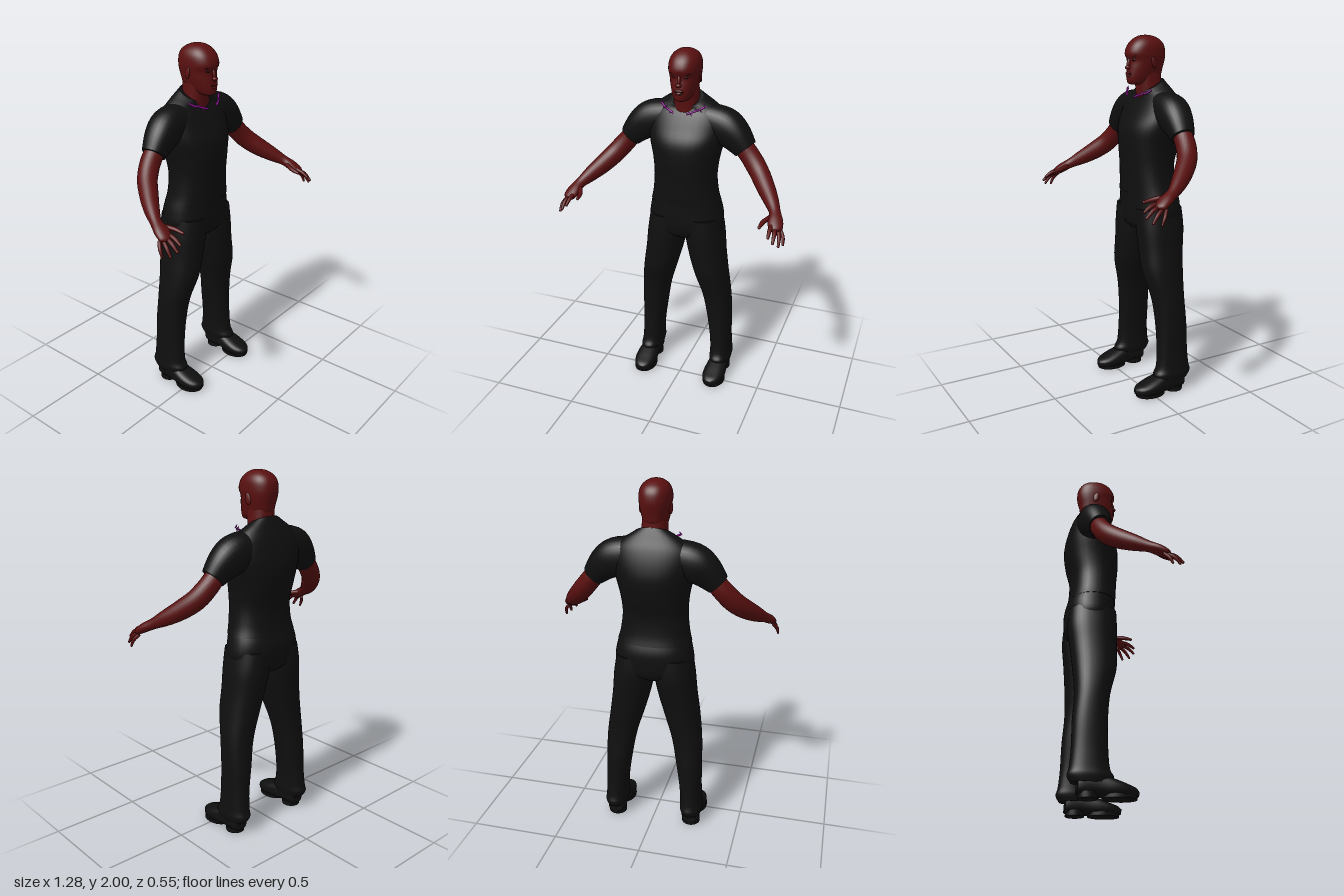
import * as THREE from 'three';

const mat = (name, color) => {
  const m = new THREE.MeshStandardMaterial({ color });
  m.name = name;
  return m;
};

// Catmull-Rom through rows of numbers (all rows equally long)
function smoothRows(rows, steps) {
  const out = [], at = (i) => rows[Math.min(Math.max(i, 0), rows.length - 1)];
  for (let i = 0; i < rows.length - 1; i++) {
    for (let s = 0; s < steps; s++) {
      const t = s / steps, [a, b, c, d] = [at(i - 1), at(i), at(i + 1), at(i + 2)];
      out.push(b.map((p, k) => 0.5 * (2 * p + (c[k] - a[k]) * t
        + (2 * a[k] - 5 * p + 4 * c[k] - d[k]) * t * t
        + (3 * p - a[k] - 3 * c[k] + d[k]) * t * t * t)));
    }
  }
  out.push(rows[rows.length - 1]);
  return out;
}

// Skin closed superellipse rings { c, u, v } with flat end caps
function skin(rings, n, power) {
  const pos = [], index = [], e = 2 / power;
  const bend = (x) => Math.sign(x) * Math.abs(x) ** e;
  const addRing = ({ c, u, v }) => {
    for (let i = 0; i < n; i++) {
      const a = (i / n) * Math.PI * 2;
      const p = c.clone().addScaledVector(u, bend(Math.cos(a))).addScaledVector(v, bend(Math.sin(a)));
      pos.push(p.x, p.y, p.z);
    }
  };
  rings.forEach(addRing);
  for (let j = 0; j < rings.length - 1; j++) {
    for (let i = 0; i < n; i++) {
      const a = j * n + i, b = j * n + ((i + 1) % n);
      index.push(a, a + n, b, b, a + n, b + n);
    }
  }
  [rings[0], rings[rings.length - 1]].forEach((ring, end) => {
    const base = pos.length / 3;
    addRing(ring);
    pos.push(ring.c.x, ring.c.y, ring.c.z);
    for (let i = 0; i < n; i++) {
      const a = base + i, b = base + ((i + 1) % n);
      index.push(base + n, end ? b : a, end ? a : b);
    }
  });
  const g = new THREE.BufferGeometry();
  g.setAttribute('position', new THREE.Float32BufferAttribute(pos, 3));
  g.setIndex(index);
  g.computeVertexNormals();
  return g;
}

const V = (x, y, z) => new THREE.Vector3(x, y, z);

// Level rings: [y, xMin, xMax, zFront, zBack, front dip]
function upright(rows, side = 1) {
  return skin(smoothRows(rows, 4).map(([y, x0, x1, zf, zb, dip]) => ({
    c: V(side * (x0 + x1) / 2, y, (zf + zb) / 2),
    u: V((x1 - x0) / 2, 0, 0),
    v: V(0, -dip, (zf - zb) / 2),
  })), 36, 2.3);
}

// Rings square to a path: [x, y, z, sideways radius, upright radius]
function limb(rows, side, n, power = 2) {
  const pts = smoothRows(rows, 4);
  const at = (i) => { const p = pts[Math.min(Math.max(i, 0), pts.length - 1)]; return V(p[0] * side, p[1], p[2]); };
  return skin(pts.map((p, i) => {
    const t = at(i + 1).sub(at(i - 1)).normalize();
    const u = V(0, 1, 0).cross(t).normalize();
    const v = u.clone().cross(t);
    return { c: at(i), u: u.multiplyScalar(p[3]), v: v.multiplyScalar(p[4]) };
  }), n, power);
}

export function createModel() {
  const model = new THREE.Group();
  model.name = 'standingMan';
  const skinMat = mat('dark red skin', 0x5a1010);
  const cloth = mat('black cloth', 0x0f0f0f);
  const dark = mat('facial shadow', 0x1c0606);
  const purple = mat('purple collar', 0x8a0f8f);
  const add = (name, geo, m, p = [0, 0, 0], r = [0, 0, 0], s = [1, 1, 1]) => {
    const mesh = new THREE.Mesh(geo, m);
    mesh.name = name;
    mesh.position.set(...p);
    mesh.rotation.set(...r);
    mesh.scale.set(...s);
    model.add(mesh);
  };
  // Centred ring from half width
  const sym = ([y, w, zf, zb, dip = 0]) => [y, -w, w, zf, zb, dip];
  const ball = new THREE.SphereGeometry(1, 20, 14);

  // Shirt body, trouser hips
  add('shirt', upright([
    [1.14, 0.203, 0.022, -0.25], [1.2, 0.188, 0.026, -0.238], [1.3, 0.178, 0.032, -0.236],
    [1.4, 0.186, 0.04, -0.26], [1.5, 0.208, 0.034, -0.272], [1.58, 0.22, -0.002, -0.262],
    [1.65, 0.21, -0.035, -0.24, 0.005], [1.695, 0.165, -0.055, -0.215, 0.015],
    [1.725, 0.11, -0.055, -0.195, 0.028], [1.735, 0.088, -0.052, -0.187, 0.034],
  ].map(sym)), cloth);
  add('hips', upright([
    [0.93, 0.06, -0.02, -0.22], [0.96, 0.17, 0.008, -0.25], [1.02, 0.216, 0.018, -0.26],
    [1.1, 0.21, 0.018, -0.26], [1.18, 0.188, 0.018, -0.235],
  ].map(sym)), cloth);

  // Neck and head
  add('neck', upright([
    [1.62, 0.075, -0.05, -0.19], [1.7, 0.07, -0.045, -0.182], [1.8, 0.066, -0.03, -0.18],
  ].map(sym)), skinMat);
  add('head', upright([
    [1.737, 0.02, 0, -0.07], [1.745, 0.04, 0.015, -0.11], [1.765, 0.054, 0.02, -0.155],
    [1.79, 0.064, 0.02, -0.182], [1.825, 0.073, 0.016, -0.19], [1.865, 0.08, 0.012, -0.2],
    [1.9, 0.084, 0.026, -0.204], [1.94, 0.081, 0.014, -0.198], [1.97, 0.067, -0.01, -0.178],
    [1.99, 0.043, -0.04, -0.145], [1.998, 0.02, -0.065, -0.115], [2, 0.004, -0.085, -0.095],
  ].map(sym)), skinMat);
  add('noseBridge', ball, skinMat, [0, 1.85, 0.014], [-0.2, 0, 0], [0.01, 0.034, 0.012]);
  add('noseTip', ball, skinMat, [0, 1.828, 0.02], [0, 0, 0], [0.016, 0.012, 0.015]);
  add('upperLip', ball, skinMat, [0, 1.798, 0.017], [0, 0, 0], [0.026, 0.007, 0.008]);
  add('lowerLip', ball, skinMat, [0, 1.784, 0.017], [0, 0, 0], [0.022, 0.007, 0.008]);
  add('mouthLine', ball, dark, [0, 1.791, 0.016], [0, 0, 0], [0.028, 0.0025, 0.0075]);

  for (const s of [1, -1]) {
    const side = s > 0 ? 'left' : 'right';
    add(side + 'Eye', ball, dark, [s * 0.033, 1.868, 0.003], [0, s * 0.3, 0], [0.015, 0.006, 0.005]);
    add(side + 'Brow', ball, dark, [s * 0.034, 1.884, 0.008], [0, s * 0.3, s * 0.15], [0.021, 0.004, 0.005]);
    add(side + 'Ear', ball, skinMat, [s * 0.08, 1.855, -0.098], [0.15, s * 0.3, 0], [0.008, 0.032, 0.018]);

    // Spiky collar piece
    const path = new THREE.CatmullRomCurve3([
      V(s * 0.035, 1.672, 0), V(s * 0.072, 1.686, -0.015), V(s * 0.1, 1.695, -0.035), V(s * 0.125, 1.71, -0.055)]);
    add(side + 'CollarBand', new THREE.TubeGeometry(path, 16, 0.006, 8), purple);
    [0.2, 0.45, 0.7, 0.92].forEach((t, i) => {
      const p = path.getPoint(t), up = i % 2 ? 1 : -1;
      add(side + 'CollarSpike', new THREE.ConeGeometry(0.006, 0.024, 8), purple,
        [p.x, p.y + up * 0.009, p.z], [0, 0, up > 0 ? s * 0.6 : Math.PI + s * 0.6]);
    });

    // Sleeve, bare arm and hand
    add(side + 'Sleeve', limb([
      [0.1, 1.612, -0.135, 0.085, 0.095], [0.205, 1.587, -0.133, 0.09, 0.104],
      [0.272, 1.545, -0.125, 0.082, 0.09], [0.336, 1.478, -0.115, 0.063, 0.064],
    ], s, 28, 2.2), cloth);
    add(side + 'Arm', limb([
      [0.3, 1.515, -0.12, 0.052, 0.052], [0.36, 1.445, -0.115, 0.054, 0.055],
      [0.42, 1.375, -0.085, 0.053, 0.056], [0.475, 1.318, -0.025, 0.049, 0.052],
      [0.525, 1.272, 0.04, 0.04, 0.042], [0.562, 1.236, 0.1, 0.03, 0.029],
      [0.578, 1.21, 0.15, 0.04, 0.026], [0.59, 1.185, 0.19, 0.036, 0.02], [0.594, 1.175, 0.2, 0.02, 0.012],
    ], s, 24), skinMat);
    [
      ['Thumb', [0.55, 1.222, 0.13], [0.522, 1.21, 0.185], [0.515, 1.2, 0.233], 0.0125],
      ['IndexFinger', [0.566, 1.2, 0.18], [0.568, 1.188, 0.228], [0.57, 1.165, 0.264], 0.011],
      ['MiddleFinger', [0.584, 1.188, 0.185], [0.594, 1.172, 0.232], [0.596, 1.14, 0.268], 0.011],
      ['RingFinger', [0.601, 1.178, 0.18], [0.617, 1.153, 0.218], [0.621, 1.117, 0.245], 0.0105],
      ['LittleFinger', [0.61, 1.172, 0.165], [0.631, 1.142, 0.187], [0.636, 1.108, 0.203], 0.0095],
    ].forEach(([name, a, b, c, r]) => {
      add(side + name, limb([[...a, r, r], [...b, r, r], [...c, r * 0.65, r * 0.65]], s, 10), skinMat);
      add(side + name + 'Tip', ball, skinMat, [s * c[0], c[1], c[2]], [0, 0, 0], [r * 0.68, r * 0.68, r * 0.68]);
    });

    // Trouser leg with a loose cuff
    add(side + 'Leg', upright([
      [0.075, 0.17, 0.284, -0.035, -0.235, 0], [0.11, 0.162, 0.29, -0.022, -0.255, 0],
      [0.15, 0.162, 0.286, -0.042, -0.245, 0], [0.25, 0.157, 0.281, -0.05, -0.236, 0],
      [0.4, 0.135, 0.28, -0.05, -0.232, 0], [0.55, 0.107, 0.275, -0.035, -0.222, 0],
      [0.7, 0.062, 0.256, 0.004, -0.23, 0], [0.83, 0.026, 0.238, 0.011, -0.243, 0],
      [0.95, 0.003, 0.226, 0.016, -0.256, 0], [1.06, 0, 0.208, 0.014, -0.25, 0],
    ], s), cloth);

    // Shoe with a raised heel
    add(side + 'Shoe', limb([
      [0.226, 0.062, -0.205, 0.035, 0.04], [0.226, 0.062, -0.19, 0.048, 0.05], [0.226, 0.065, -0.1, 0.054, 0.055],
      [0.226, 0.052, -0.02, 0.064, 0.045], [0.223, 0.042, 0.04, 0.06, 0.034],
      [0.219, 0.036, 0.08, 0.042, 0.026], [0.217, 0.034, 0.102, 0.014, 0.014],
    ], s, 28, 2.6), cloth);
    add(side + 'Heel', new THREE.CylinderGeometry(0.052, 0.052, 0.03, 24), cloth, [s * 0.226, 0.015, -0.15]);
    add(side + 'Sole', new THREE.CylinderGeometry(1, 1, 0.02, 32), cloth, [s * 0.225, 0.013, 0.005], [0, 0, 0], [0.066, 1, 0.088]);
  }
  return model;
}
